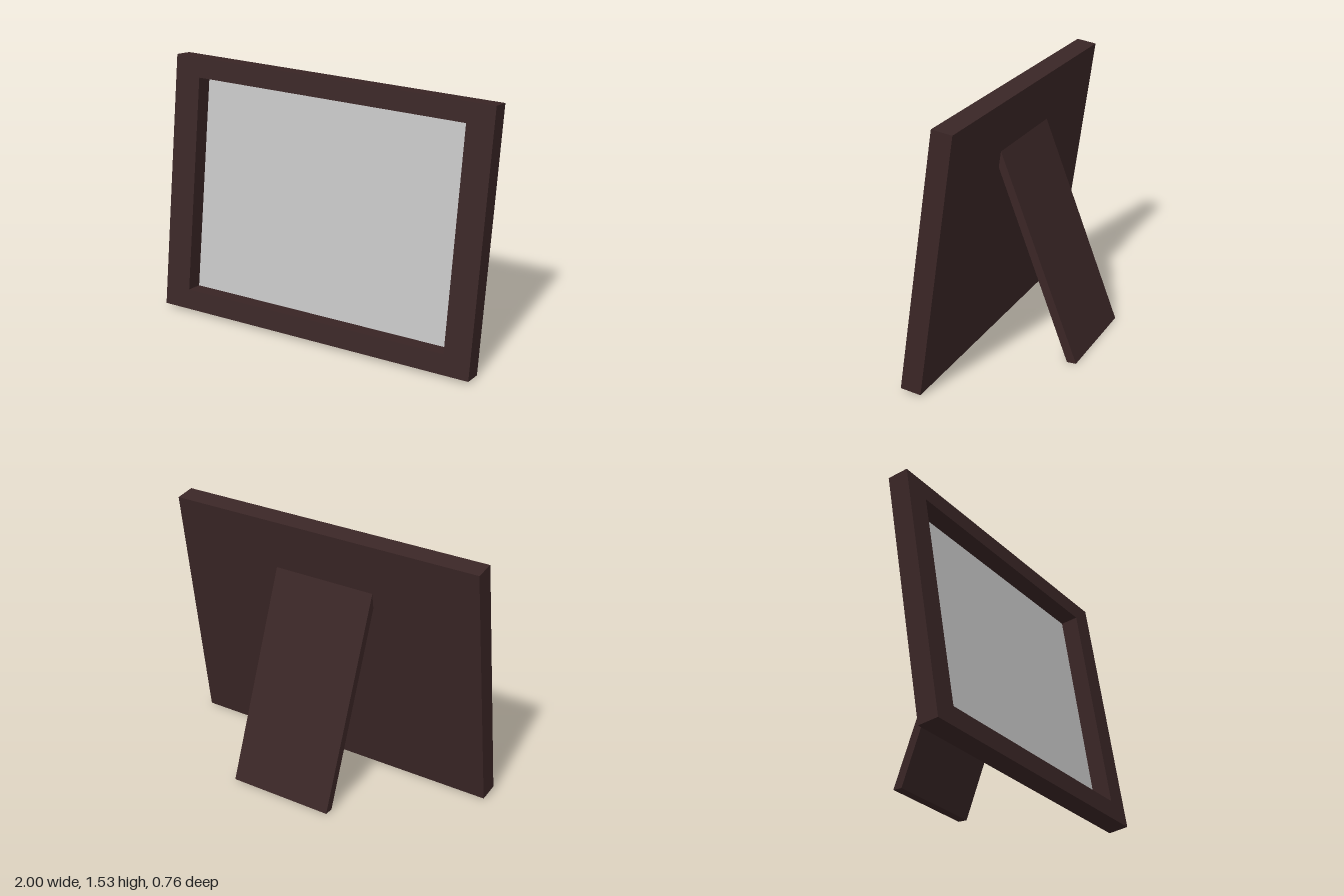
import * as THREE from 'three';

const WIDTH = 2, HEIGHT = 1.527, DEPTH = 0.121;
const OPEN_W = 1.68, OPEN_BOTTOM = 0.121, OPEN_TOP = 1.411;
const RECESS = 0.106, TILT = 0.152;

// Four corner points of an upright rectangle
function corners(halfWidth, y0, y1) {
  return [[-halfWidth, y0], [halfWidth, y0], [halfWidth, y1], [-halfWidth, y1]]
    .map(([x, y]) => new THREE.Vector2(x, y));
}

function extrude(shape, depth) {
  return new THREE.ExtrudeGeometry(shape, { depth, bevelEnabled: false });
}

export function createModel() {
  const wood = new THREE.MeshStandardMaterial({ color: 0x3a2626 });
  wood.name = 'darkWood';
  const grey = new THREE.MeshStandardMaterial({ color: 0xc4c4c4 });
  grey.name = 'pictureGrey';

  const model = new THREE.Group();
  model.name = 'pictureFrame';
  const add = (parent, name, geometry, material) => {
    const mesh = new THREE.Mesh(geometry, material);
    mesh.name = name;
    parent.add(mesh);
    return mesh;
  };

  // Leaning assembly: its origin is the lower front edge of the frame
  const leaning = new THREE.Group();
  leaning.name = 'leaningFrame';
  leaning.position.set(0, 0.021, 0.38);
  leaning.rotation.x = -TILT;
  model.add(leaning);

  // Border with a rectangular opening
  const border = new THREE.Shape(corners(WIDTH / 2, 0, HEIGHT));
  border.holes.push(new THREE.Path(corners(OPEN_W / 2, OPEN_BOTTOM, OPEN_TOP).reverse()));
  add(leaning, 'border', extrude(border, DEPTH), wood).position.z = -DEPTH;

  // Backing board and the picture plate on its front
  const openH = OPEN_TOP - OPEN_BOTTOM, openY = (OPEN_TOP + OPEN_BOTTOM) / 2;
  const plate = 0.005, boardDepth = DEPTH - RECESS - plate;
  add(leaning, 'backingBoard', new THREE.BoxGeometry(OPEN_W, openH, boardDepth), wood)
    .position.set(0, openY, -DEPTH + boardDepth / 2);
  add(leaning, 'picture', new THREE.BoxGeometry(OPEN_W, openH, plate), grey)
    .position.set(0, openY, -RECESS - plate / 2);

  // Rear stand: side profile as (-z, y), extruded across x
  const profile = new THREE.Shape([
    [0.325, 0], [0.38, 0], [-0.076, 1.215], [-0.09, 1.12],
  ].map(([x, y]) => new THREE.Vector2(x, y)));
  const standWidth = 0.65;
  const stand = add(model, 'rearStand', extrude(profile, standWidth), wood);
  stand.rotation.y = Math.PI / 2;
  stand.position.x = -standWidth / 2;

  return model;
}
